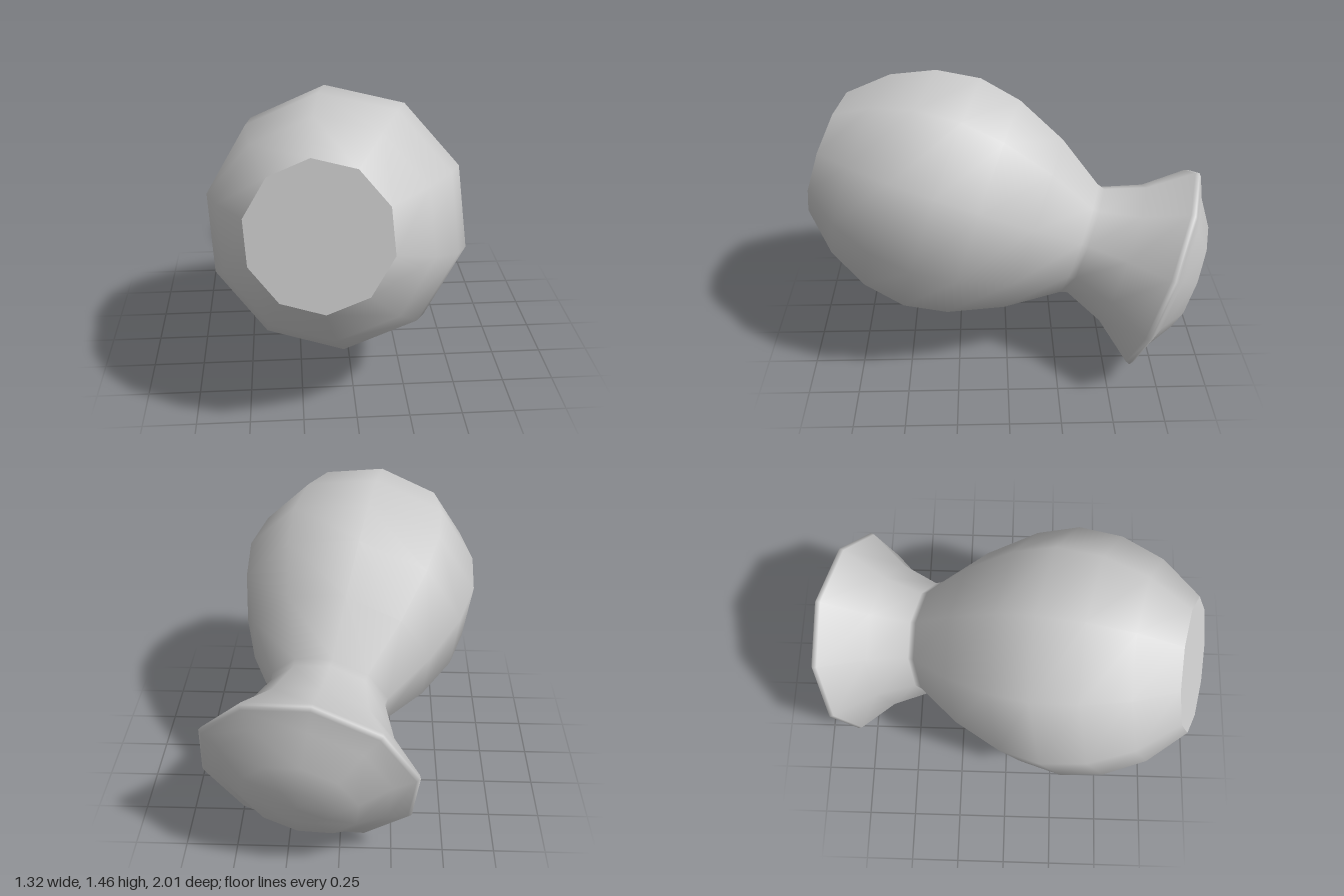
import * as THREE from 'three';

const SIDES = 10;

export function createModel() {
  const model = new THREE.Group();
  const vase = new THREE.Group();
  vase.name = 'tiltedVase';
  const material = new THREE.MeshStandardMaterial({ color: 0xcccccc });

  const addPart = (name, geometry) => {
    const mesh = new THREE.Mesh(geometry, material);
    mesh.name = name;
    vase.add(mesh);
  };

  // Body, neck, flared foot and its domed underside: [radius, distance along axis]
  const profile = [
    [0.327, 0], [0.49, 0.185], [0.588, 0.395], [0.622, 0.615], [0.582, 0.83],
    [0.465, 1.09], [0.3, 1.335], [0.291, 1.37], [0.373, 1.565],
    [0.525, 1.755], [0.532, 1.775], [0.515, 1.79],
    [0.42, 1.83], [0.28, 1.925], [0.13, 1.96], [0, 1.965],
  ].map(([r, y]) => new THREE.Vector2(r, y));
  addPart('body', new THREE.LatheGeometry(profile, SIDES));

  // Flat closed end
  const cap = new THREE.CircleGeometry(0.327, SIDES, Math.PI / 2);
  cap.rotateX(Math.PI / 2);
  addPart('flatEnd', cap);

  // Lay the vase over along its tilted axis
  const axis = new THREE.Vector3(0.18, -0.288, -0.94).normalize();
  const up = new THREE.Vector3(-0.076, 0.948, -0.306);
  const side = new THREE.Vector3().crossVectors(axis, up).normalize();
  up.crossVectors(side, axis);
  vase.quaternion.setFromRotationMatrix(new THREE.Matrix4().makeBasis(side, axis, up));
  vase.position.set(-0.175, 1.02, 0.885);

  model.add(vase);
  return model;
}
